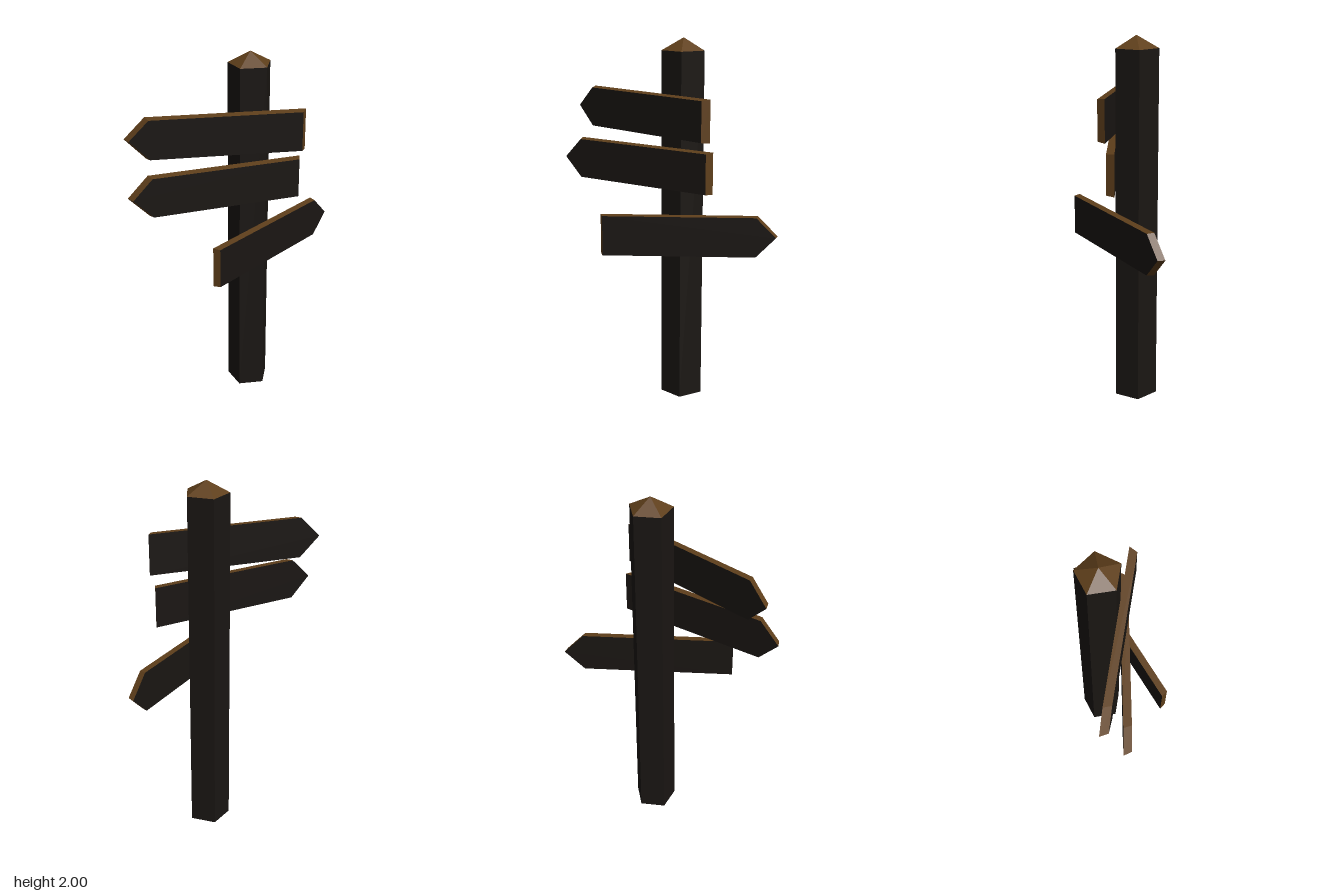
import * as THREE from 'three';

const dark = new THREE.MeshStandardMaterial({ color: 0x1a1613, flatShading: true });
const brown = new THREE.MeshStandardMaterial({ color: 0x5f3f1b, flatShading: true });

// Arrow-ended plank: dark faces, brown edges, front face slightly smaller than the back
function plank(name, depth, inset) {
  const h = 0.1125, half = 0.4775, shoulder = -0.3675;
  const shape = new THREE.Shape([
    [-half, 0], [shoulder, -h], [half, -h], [half, h], [shoulder, h],
  ].map(([x, y]) => new THREE.Vector2(x, y)));
  const geo = new THREE.ExtrudeGeometry(shape, { depth, bevelEnabled: false });
  const p = geo.attributes.position;
  const s = 1 - inset / half;
  for (let i = 0; i < p.count; i++) {
    if (p.getZ(i) > depth / 2) p.setXY(i, p.getX(i) * s, p.getY(i) * s);
  }
  geo.computeVertexNormals();
  const mesh = new THREE.Mesh(geo, [dark, brown]);
  mesh.name = name;
  return mesh;
}

export function createModel() {
  const model = new THREE.Group();
  model.name = 'signpost';

  // Five-sided post with a pyramid cap, one corner pointing back
  const radius = 0.119, postTop = 1.935, capHeight = 0.065;
  const post = new THREE.Mesh(new THREE.CylinderGeometry(radius, radius, postTop, 5, 1, false, Math.PI), dark);
  post.name = 'post';
  post.position.set(0.092, postTop / 2, -0.082);
  const cap = new THREE.Mesh(new THREE.ConeGeometry(radius, capHeight, 5, 1, true, Math.PI), brown);
  cap.name = 'postCap';
  cap.position.set(0.092, postTop + capHeight / 2, -0.082);
  model.add(post, cap);

  // Sign planks: name, back-face centre, turn in degrees, thickness, inset, points right
  const signs = [
    ['upperSign', [-0.1075, 1.5975, 0.025], 0, 0.043, 0.023, false],
    ['middleSign', [-0.115, 1.3175, 0.0625], 10, 0.043, 0.019, false],
    ['lowerSign', [0.2, 0.9575, -0.0125], 40, 0.038, 0.012, true],
  ];
  for (const [name, centre, turn, depth, inset, pointsRight] of signs) {
    const sign = plank(name, depth, inset);
    sign.position.set(...centre);
    sign.rotation.set(0, THREE.MathUtils.degToRad(turn), pointsRight ? Math.PI : 0);
    model.add(sign);
  }
  return model;
}
